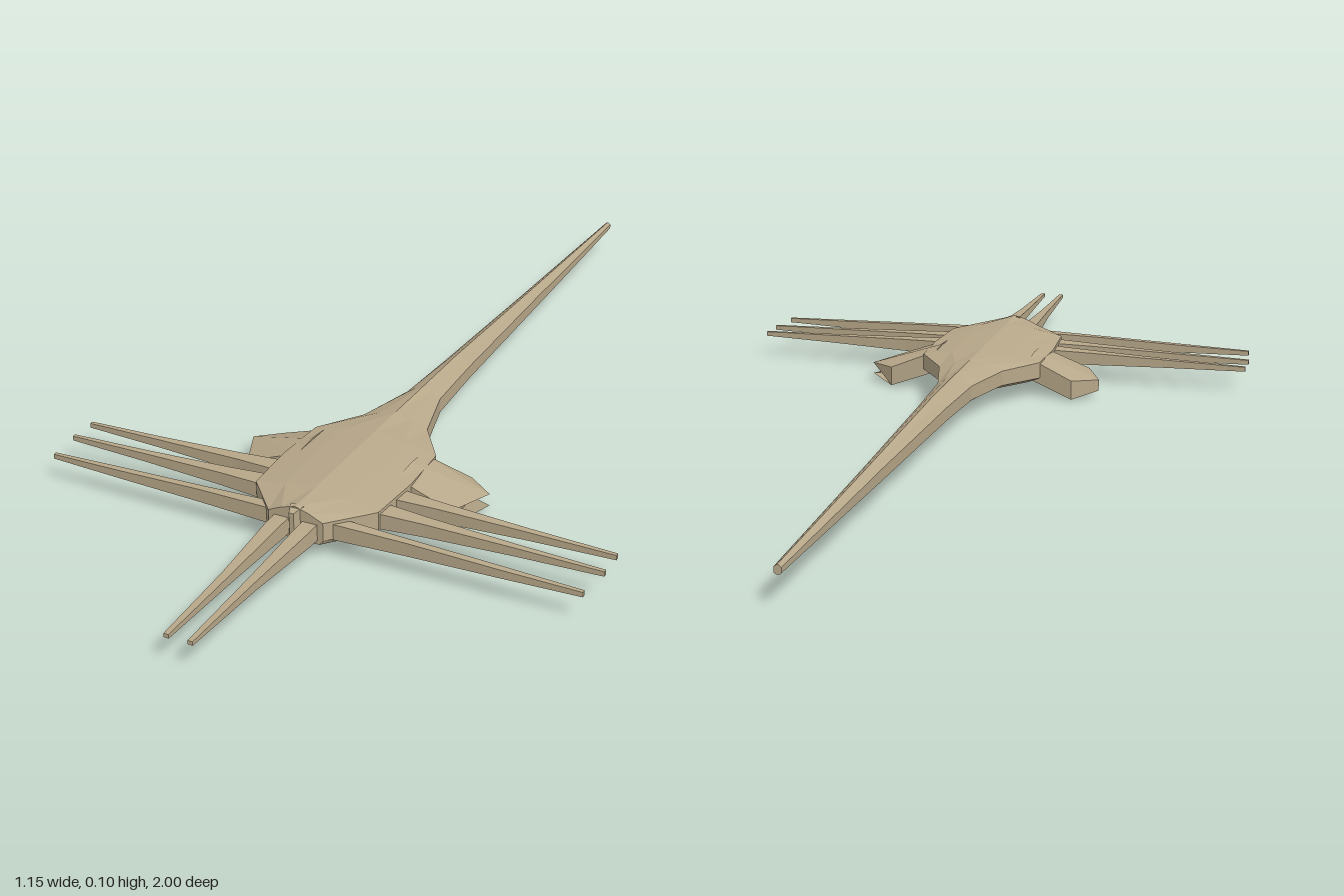
import * as THREE from 'three';

// Flat-faced skin over rings of [x, y, z] points; side -1 mirrors it in x
function loft(rings, side = 1) {
  const R = side > 0 ? rings : rings.map(r => r.map(([x, y, z]) => [-x, y, z]).reverse());
  const pos = [], n = R[0].length;
  const tri = (a, b, c) => pos.push(...a, ...b, ...c);
  for (let i = 0; i < R.length - 1; i++) {
    for (let j = 0; j < n; j++) {
      const k = (j + 1) % n;
      tri(R[i][j], R[i][k], R[i + 1][k]);
      tri(R[i][j], R[i + 1][k], R[i + 1][j]);
    }
  }
  const first = R[0], last = R[R.length - 1];
  for (let j = 1; j < n - 1; j++) {
    tri(first[0], first[j + 1], first[j]);
    tri(last[0], last[j], last[j + 1]);
  }
  const g = new THREE.BufferGeometry();
  g.setAttribute('position', new THREE.Float32BufferAttribute(pos, 3));
  g.computeVertexNormals();
  return g;
}

export function createModel() {
  const group = new THREE.Group();
  const skin = new THREE.MeshStandardMaterial({ color: 0xb8a88a });
  skin.name = 'sandySkin';
  const add = (name, geometry) => {
    const mesh = new THREE.Mesh(geometry, skin);
    mesh.name = name;
    group.add(mesh);
  };

  // Body and tail: z, half width, side low, side high, top, belly half width, belly
  const sections = [
    [-1, 0.007, 0.065, 0.075, 0.08, 0.004, 0.062],
    [-0.5, 0.018, 0.057, 0.08, 0.093, 0.007, 0.05],
    [-0.1, 0.03, 0.055, 0.083, 0.105, 0.012, 0.042],
    [0.06, 0.038, 0.052, 0.083, 0.105, 0.02, 0.04],
    [0.19, 0.072, 0.05, 0.083, 0.105, 0.05, 0.04],
    [0.28, 0.135, 0.047, 0.083, 0.105, 0.11, 0.036],
    [0.40, 0.14, 0.045, 0.083, 0.105, 0.12, 0.03],
    [0.52, 0.132, 0.045, 0.083, 0.105, 0.11, 0.03],
    [0.60, 0.058, 0.045, 0.083, 0.105, 0.05, 0.035],
  ];
  add('bodyAndTail', loft(sections.map(([z, w, lo, hi, top, wb, yb]) => {
    const mid = hi + (top - hi) * 0.6;
    return [[w, lo, z], [w, hi, z], [w / 2, mid, z], [0, top, z], [-w / 2, mid, z],
      [-w, hi, z], [-w, lo, z], [-wb, yb, z], [wb, yb, z]];
  })));

  // Small wedge between the front feelers
  add('beak', loft([[0.59, 0.014, 0.04, 0.104], [0.615, 0.005, 0.048, 0.098]].map(([z, w, lo, hi]) =>
    [[w, lo, z], [w, hi, z], [-w, hi, z], [-w, lo, z]])));

  for (const side of [1, -1]) {
    const label = side > 0 ? 'left' : 'right';

    // Flippers drooping behind the feelers
    add(label + 'Flipper', loft([
      [[0.11, 0.04, 0.29], [0.11, 0.088, 0.29], [0.11, 0.092, 0.34],
        [0.11, 0.088, 0.40], [0.11, 0.04, 0.40], [0.11, 0.04, 0.34]],
      [[0.21, 0.005, 0.272], [0.21, 0.048, 0.272], [0.265, 0.045, 0.31],
        [0.225, 0.045, 0.40], [0.215, 0.003, 0.40], [0.265, 0.02, 0.31]],
    ], side));

    // Side feelers: z, root x, tip x, root half depth
    [[0.435, 0.1, 0.575, 0.022], [0.495, 0.1, 0.575, 0.022], [0.573, 0.06, 0.565, 0.013]]
      .forEach(([z, root, tip, d], i) => {
        const stops = [[root, d, 0.017], [0.22, d * 0.6, 0.014], [0.40, 0.007, 0.009], [tip, 0.004, 0.005]];
        add(label + 'SideFeeler' + (i + 1), loft(stops.map(([x, dz, dy]) =>
          [[x, 0.06 - dy, z - dz], [x, 0.06 + dy, z - dz], [x, 0.06 + dy, z + dz], [x, 0.06 - dy, z + dz]]), side));
      });

    // Front feelers: z, centre x, half width, half height
    const stops = [[0.57, 0.03, 0.016, 0.017], [0.63, 0.03, 0.015, 0.016],
      [0.80, 0.026, 0.009, 0.009], [1, 0.024, 0.005, 0.004]];
    add(label + 'FrontFeeler', loft(stops.map(([z, x, w, h]) =>
      [[x + w, 0.06 - h, z], [x + w, 0.06 + h, z], [x - w, 0.06 + h, z], [x - w, 0.06 - h, z]]), side));
  }
  return group;
}
